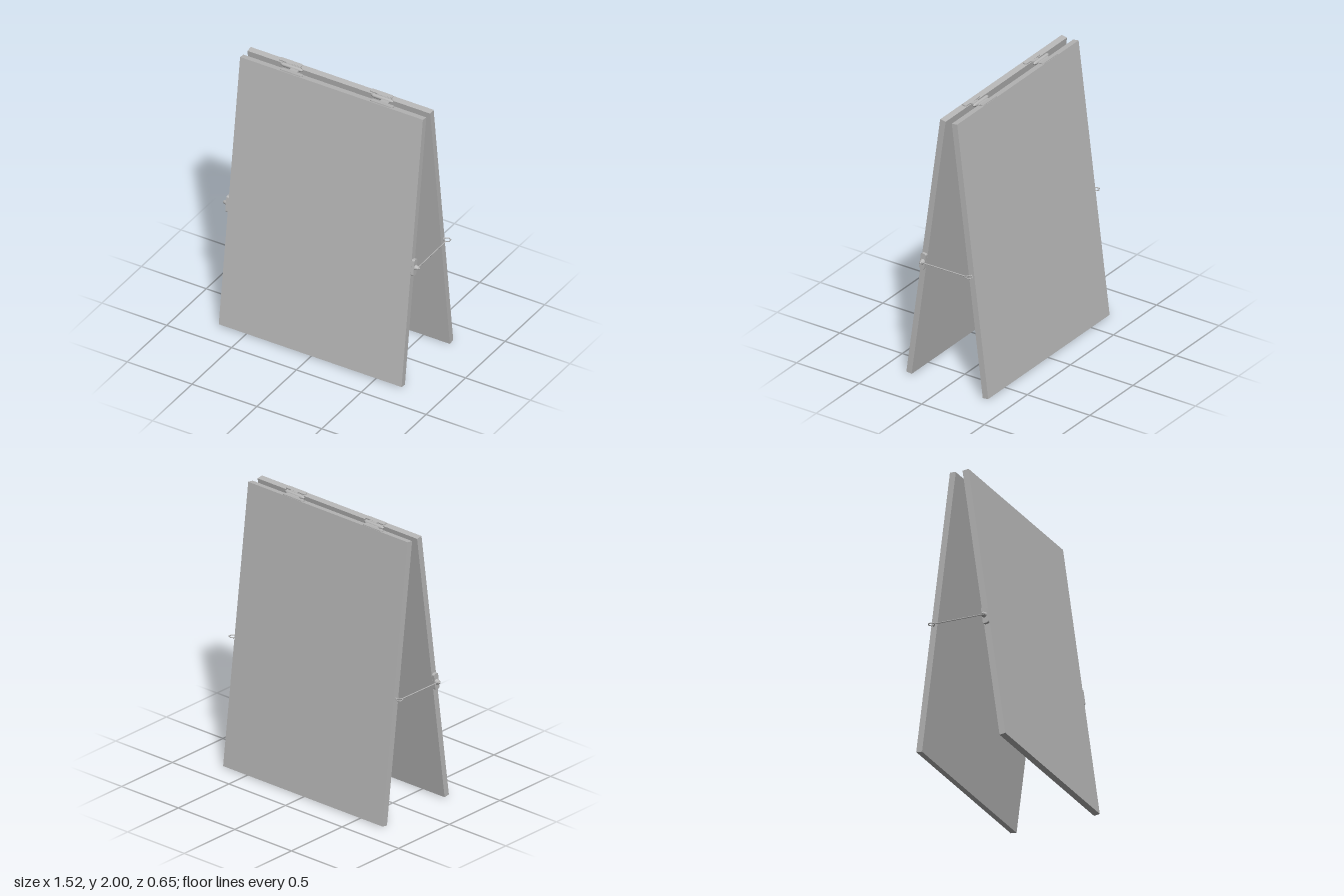
import * as THREE from 'three';

export function createModel() {
  const model = new THREE.Group();
  const grey = new THREE.MeshStandardMaterial({ color: 0xb8b8b8 });
  grey.name = 'grey';

  const add = (parent, name, geometry, x = 0, y = 0, z = 0) => {
    const mesh = new THREE.Mesh(geometry, grey);
    mesh.name = name;
    mesh.position.set(x, y, z);
    parent.add(mesh);
    return mesh;
  };
  const rod = (parent, name, points, radius) => {
    const path = new THREE.CurvePath();
    for (let i = 1; i < points.length; i++) {
      path.add(new THREE.LineCurve3(new THREE.Vector3(...points[i - 1]), new THREE.Vector3(...points[i])));
    }
    return add(parent, name, new THREE.TubeGeometry(path, 8, radius, 8));
  };

  // Leaning boards: side profile given as [z, y], extruded across x
  const width = 1.41;
  const board = (name, corners) => {
    const shape = new THREE.Shape(corners.map(([z, y]) => new THREE.Vector2(-z, y)));
    const geometry = new THREE.ExtrudeGeometry(shape, { depth: width, bevelEnabled: false });
    geometry.translate(0, 0, -width / 2).rotateY(Math.PI / 2);
    add(model, name, geometry);
  };
  board('frontBoard', [[0.326, 0.012], [0.284, 0.006], [0.012, 1.98], [0.056, 1.986]]);
  board('backBoard', [[-0.328, 0.006], [-0.285, 0], [-0.037, 1.981], [-0.08, 1.987]]);

  // Thin plate with rounded corners, lying flat in x and z
  const leaf = (w, d, h, r) => {
    const x = w / 2, y = d / 2, s = new THREE.Shape();
    s.moveTo(-x + r, -y).lineTo(x - r, -y);
    s.absarc(x - r, -y + r, r, -Math.PI / 2, 0);
    s.absarc(x - r, y - r, r, 0, Math.PI / 2);
    s.absarc(-x + r, y - r, r, Math.PI / 2, Math.PI);
    s.absarc(-x + r, -y + r, r, Math.PI, Math.PI * 1.5);
    const g = new THREE.ExtrudeGeometry(s, { depth: h, bevelEnabled: false, curveSegments: 4 });
    return g.translate(0, 0, -h / 2).rotateX(-Math.PI / 2);
  };

  // Two top hinges: staggered leaves, necks and a barrel with tapered ends
  const barrelProfile = [[0, -0.085], [0.006, -0.084], [0.014, -0.066], [0.014, 0.066], [0.006, 0.084], [0, 0.085]]
    .map(([r, y]) => new THREE.Vector2(r, y));
  for (const x of [-0.354, 0.346]) {
    const hinge = new THREE.Group();
    hinge.name = 'hinge';
    hinge.position.x = x;
    add(hinge, 'backLeaf', leaf(0.17, 0.03, 0.01, 0.012), -0.031, 1.987, -0.063).rotation.x = 0.12;
    add(hinge, 'backNeck', new THREE.BoxGeometry(0.11, 0.007, 0.035), 0, 1.986, -0.038);
    add(hinge, 'barrel', new THREE.LatheGeometry(barrelProfile, 12), 0, 1.986, -0.021).rotation.z = Math.PI / 2;
    add(hinge, 'frontNeck', new THREE.BoxGeometry(0.06, 0.007, 0.04), 0.034, 1.985, 0);
    add(hinge, 'frontLeaf', leaf(0.17, 0.032, 0.01, 0.012), 0.032, 1.986, 0.033).rotation.x = -0.13;
    model.add(hinge);
  }

  // Side catches: plate and knob on the front board, hook rod to an eye on the back board
  for (const side of [1, -1]) {
    const catchGroup = new THREE.Group();
    catchGroup.name = side > 0 ? 'leftCatch' : 'rightCatch';
    const plate = add(catchGroup, 'catchPlate', leaf(0.12, 0.04, 0.02, 0.012), side * 0.715, 0.89, 0.184);
    plate.rotation.set(-0.137, 0, Math.PI / 2);
    const knob = new THREE.CylinderGeometry(0.012, 0.02, 0.026, 10);
    add(catchGroup, 'knob', knob, side * 0.737, 0.89, 0.182).rotation.z = -side * Math.PI / 2;
    add(catchGroup, 'knobTip', new THREE.SphereGeometry(0.009, 8, 6), side * 0.75, 0.89, 0.182);
    rod(catchGroup, 'hookRod', [[side * 0.738, 0.888, 0.182], [side * 0.739, 0.893, -0.172]], 0.004);
    const eye = add(catchGroup, 'eye', new THREE.TorusGeometry(0.023, 0.004, 6, 6), side * 0.738, 0.894, -0.198);
    eye.rotation.set(-Math.PI / 2, 0, Math.PI / 6);
    rod(catchGroup, 'eyeShank', [[side * 0.7, 0.894, -0.198], [side * 0.718, 0.894, -0.198]], 0.005);
    model.add(catchGroup);
  }

  return model;
}
